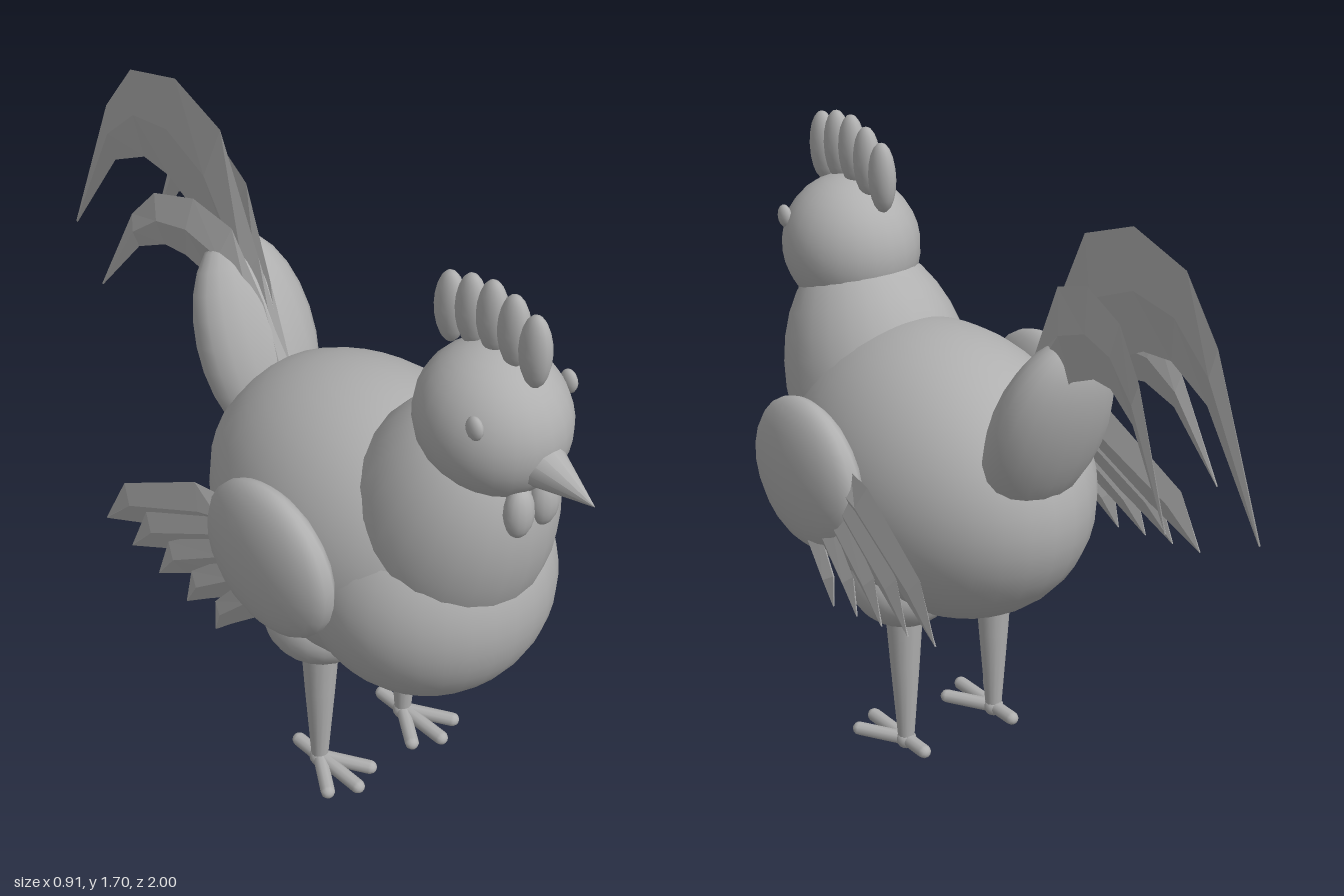
import * as THREE from 'three';

const grey = new THREE.MeshStandardMaterial({ color: 0xb0b0b0 });
grey.name = 'plain grey';

export function createModel() {
  const model = new THREE.Group();
  model.name = 'rooster';

  function add(name, geometry, x = 0, y = 0, z = 0, parent = model) {
    const mesh = new THREE.Mesh(geometry, grey);
    mesh.name = name;
    mesh.position.set(x, y, z);
    parent.add(mesh);
    return mesh;
  }

  // Ellipsoid with an optional lean about the x axis
  function blob(name, [x, y, z], [rx, ry, rz], lean = 0, seg = 24) {
    const mesh = add(name, new THREE.SphereGeometry(1, seg, Math.round(seg * 0.7)), x, y, z);
    mesh.scale.set(rx, ry, rz);
    mesh.rotation.x = lean;
    return mesh;
  }

  // Tapered rod from point a to point b
  function rod(name, a, b, ra, rb, seg = 12) {
    const from = new THREE.Vector3(...a), to = new THREE.Vector3(...b);
    const dir = to.clone().sub(from);
    const mesh = add(name, new THREE.CylinderGeometry(rb, ra, dir.length(), seg));
    mesh.position.copy(from).add(to).multiplyScalar(0.5);
    mesh.quaternion.setFromUnitVectors(new THREE.Vector3(0, 1, 0), dir.normalize());
    return mesh;
  }

  // Pointed feather in the yz plane with a diamond section;
  // outer and inner are matching edge points [back, up]
  function blade(outer, inner, thick) {
    const pos = [], rows = outer.map(([u, v], i) => {
      const [p, q] = inner[i];
      const t = i === outer.length - 1 ? 0.002 : thick * (1 - 0.7 * i / outer.length);
      return [[0, v, -u], [t, (v + q) / 2, -(u + p) / 2], [0, q, -p], [-t, (v + q) / 2, -(u + p) / 2]];
    });
    const quad = (a, b, c, d) => pos.push(...a, ...b, ...c, ...a, ...c, ...d);
    for (let i = 0; i < rows.length - 1; i++) {
      for (let k = 0; k < 4; k++) {
        const n = (k + 1) % 4;
        quad(rows[i][k], rows[i][n], rows[i + 1][n], rows[i + 1][k]);
      }
    }
    const r = rows[0];
    quad(r[0], r[3], r[2], r[1]);
    const g = new THREE.BufferGeometry();
    g.setAttribute('position', new THREE.Float32BufferAttribute(pos, 3));
    g.computeVertexNormals();
    return g;
  }

  // Body, breast, neck and head
  blob('body', [0, 0.8, 0.25], [0.35, 0.39, 0.5], 0, 32);
  blob('breast', [0, 0.74, 0.46], [0.325, 0.32, 0.32], 0, 32);
  blob('neck', [0, 0.95, 0.53], [0.25, 0.38, 0.265], 0.35);
  blob('head', [0, 1.305, 0.66], [0.18, 0.19, 0.2]);
  rod('beak', [0, 1.262, 0.82], [0, 1.234, 1], 0.064, 0);

  // Comb along the top of the head
  [1.545, 1.565, 1.57, 1.555, 1.53].forEach((y, i) =>
    blob('combLobe', [0, y, 0.785 - i * 0.07], [0.033, 0.095, 0.045], 0, 14));

  // Tail base and three sickle feathers
  blob('tailBase', [0, 1.08, -0.21], [0.17, 0.29, 0.11], -0.4, 18);
  const tailOuter = [[0, 0], [0.13, 0.27], [0.275, 0.57], [0.455, 0.64], [0.645, 0.59], [0.76, 0.44], [0.93, 0.015]];
  const tailInner = [[0.04, -0.02], [0.19, 0.13], [0.37, 0.28], [0.5, 0.345], [0.6, 0.355], [0.73, 0.29], [0.925, 0.01]];
  [[1, 1, 0], [0.82, 0.75, -0.17], [0.69, 0.6, 0.21]].forEach(([long, high, turn]) => {
    const resize = ([u, v]) => [u * long, v * high];
    const feather = add('tailFeather', blade(tailOuter.map(resize), tailInner.map(resize), 0.024), 0, 1.06, -0.07);
    feather.rotation.y = turn;
  });

  for (const s of [1, -1]) {
    blob('eye', [s * 0.148, 1.385, 0.753], [0.016, 0.031, 0.026], 0, 12);
    blob('wattle', [s * 0.04, 1.125, 0.8], [0.04, 0.07, 0.036], 0, 14);

    // Wing with five fanned feathers
    blob('wing', [s * 0.38, 0.865, 0.305], [0.077, 0.203, 0.227], 0, 18);
    for (let i = 0; i < 5; i++) {
      const k = i / 4;
      const rootY = 0.875 - 0.13 * k, rootZ = 0.14 + 0.16 * k;
      const du = rootZ - (-0.32 + 0.455 * k), dv = 0.647 - 0.086 * k - rootY;
      const len = Math.hypot(du, dv), w = 0.108 - 0.045 * k;
      const at = (t, off) => [du * t - dv / len * off, dv * t + du / len * off];
      const outer = [at(0, w * 0.7), at(0.16, w), at(0.74, w * 0.93), at(1, 0.002)];
      const inner = [at(0, -0.03), at(0.16, -0.035), at(0.7, -0.012), at(1, -0.002)];
      const feather = add('wingFeather', blade(outer, inner, 0.026), s * (0.375 + 0.02 * k), rootY, rootZ);
      feather.rotation.y = s * -(0.1 + 0.06 * k);
    }

    // Leg and foot
    const x = s * 0.148, z = 0.22;
    blob('thigh', [s * 0.155, 0.52, z], [0.138, 0.12, 0.15], 0, 20);
    rod('upperLeg', [x, 0.44, z], [x, 0.265, z], 0.052, 0.04, 14);
    rod('shank', [x, 0.265, z], [x, 0.03, z], 0.04, 0.022, 14);
    blob('ankle', [x, 0.028, z], [0.028, 0.028, 0.028], 0, 12);
    for (const [angle, len] of [[0, 0.155], [0.55, 0.14], [-0.55, 0.14], [Math.PI, 0.085]]) {
      const toe = add('toe', new THREE.CapsuleGeometry(0.019, len, 4, 10).rotateX(Math.PI / 2).translate(0, 0, len / 2), x, 0.028, z);
      toe.rotation.y = angle;
    }
  }
  return model;
}
